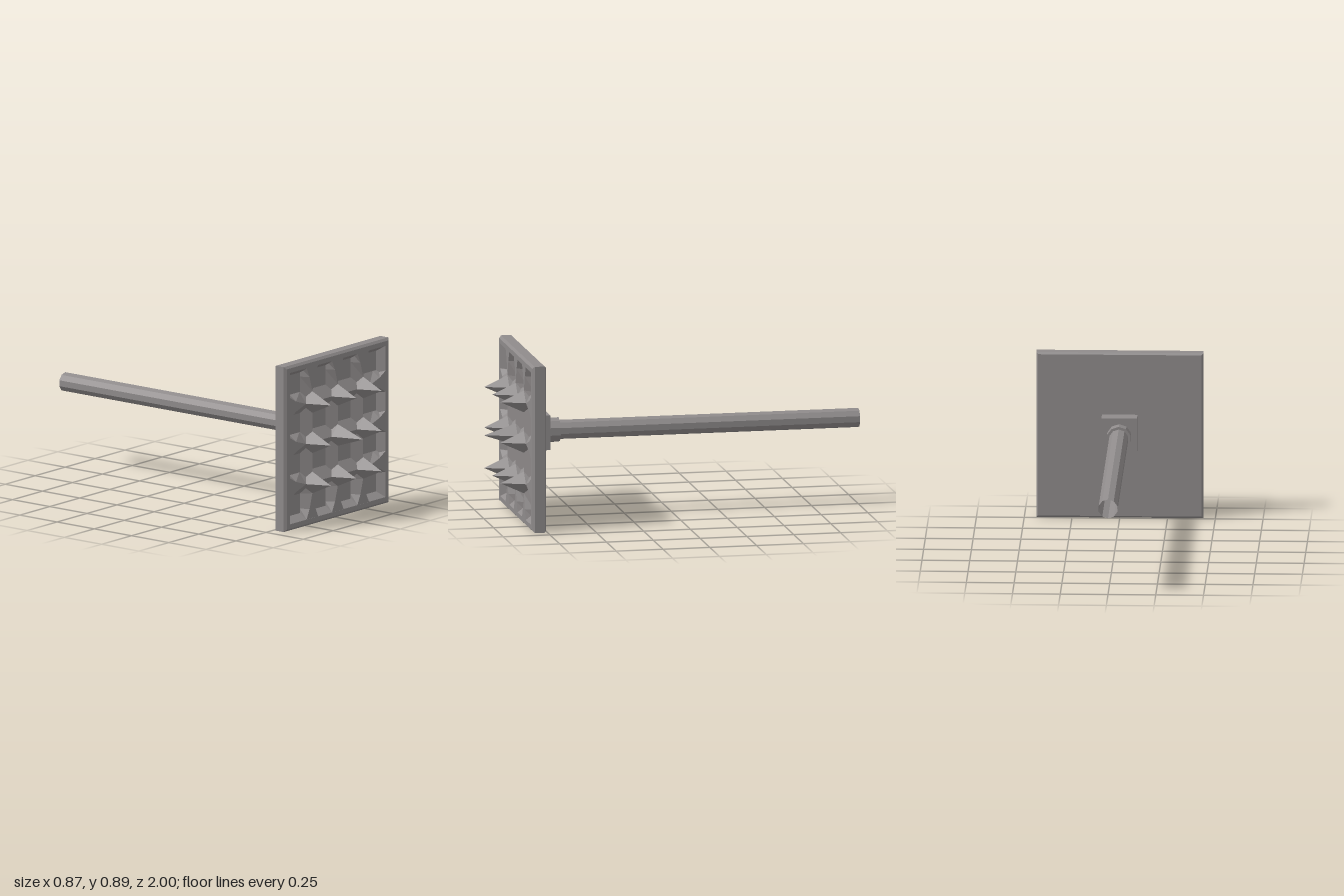
import * as THREE from 'three';

const FACE = 0.83, FLOOR = 0.785, MID = 0.4435;

export function createModel() {
  const group = new THREE.Group();
  const steel = new THREE.MeshStandardMaterial({ color: 0x8f8b8b });
  const tubeSteel = new THREE.MeshStandardMaterial({ color: 0x8f8b8b, side: THREE.DoubleSide });

  // Adds a mesh with hard facets
  const add = (name, geometry, x, y, z, material = steel) => {
    const g = geometry.index ? geometry.toNonIndexed() : geometry;
    g.computeVertexNormals();
    const mesh = new THREE.Mesh(g, material);
    mesh.name = name;
    mesh.position.set(x, y, z);
    group.add(mesh);
    return mesh;
  };

  // Skins loops of four points; closed loops are capped at both ends
  const skin = (loops, closed) => {
    const index = [];
    const sides = closed ? 4 : 3;
    for (let i = 0; i < loops.length - 1; i++) {
      for (let k = 0; k < sides; k++) {
        const a = i * 4 + k, b = i * 4 + (k + 1) % 4;
        if (closed) index.push(a, b, b + 4, a, b + 4, a + 4);
        else index.push(a, a + 4, b + 4, a, b + 4, b);
      }
    }
    if (closed) {
      const e = (loops.length - 1) * 4;
      index.push(0, 2, 1, 0, 3, 2, e, e + 1, e + 2, e, e + 2, e + 3);
    }
    const g = new THREE.BufferGeometry();
    g.setAttribute('position', new THREE.Float32BufferAttribute(loops.flat(2), 3));
    g.setIndex(index);
    return g;
  };

  // Bevelled square plate with a sunken field: half width, half height, z
  const rings = [
    [0.427, 0.433, 0.755], [0.437, 0.443, 0.765], [0.437, 0.443, 0.818],
    [0.425, 0.431, FACE], [0.4, 0.4065, FACE], [0.376, 0.378, FLOOR],
  ];
  add('plate', skin(rings.map(([w, h, z]) =>
    [[-w, -h, z], [w, -h, z], [w, h, z], [-w, h, z]]), true), 0, 0.443, 0);

  // Ridges: flat tongues at the rim that narrow to a sharp crest
  const ridge = (half, base, tip) => {
    const stations = [[-half, base], [-half + 0.052, base * 0.48], [-tip, 0]];
    const all = [...stations, ...stations.slice().reverse().map(([s, w]) => [-s, w])];
    return skin(all.map(([s, w]) =>
      [[s, -base, FLOOR], [s, -w, FACE], [s, w, FACE], [s, base, FLOOR]]), false);
  };
  for (const i of [-1, 0, 1]) {
    add('horizontalRidge', ridge(0.4, 0.057, 0.264), 0, MID + i * 0.216, 0);
    add('verticalRidge', ridge(0.4065, 0.048, 0.274), i * 0.212, MID, 0).rotation.z = Math.PI / 2;
  }

  // Diamond spikes on every crossing, the middle one longest
  for (const i of [-1, 0, 1]) {
    for (const j of [-1, 0, 1]) {
      const tip = i === 0 && j === 0 ? 1 : 0.955;
      const profile = [[1, FLOOR], [1, FACE], [0, tip]].map(([r, y]) => new THREE.Vector2(r, y));
      const g = new THREE.LatheGeometry(profile, 4).rotateX(Math.PI / 2).scale(0.052, 0.058, 1);
      add('spike', g, i * 0.212, MID + j * 0.216, 0);
    }
  }

  // Mounting block, collar and open tubular handle
  add('mountingBlock', new THREE.BoxGeometry(0.186, 0.185, 0.092), 0, 0.4625, 0.71);
  add('collar', new THREE.CylinderGeometry(0.065, 0.065, 0.065, 10).rotateX(Math.PI / 2), 0, 0.46, 0.6335);
  add('handle', new THREE.CylinderGeometry(0.051, 0.051, 1.61, 10, 1, true).rotateX(Math.PI / 2),
    0, 0.46, -0.195, tubeSteel);

  return group;
}
